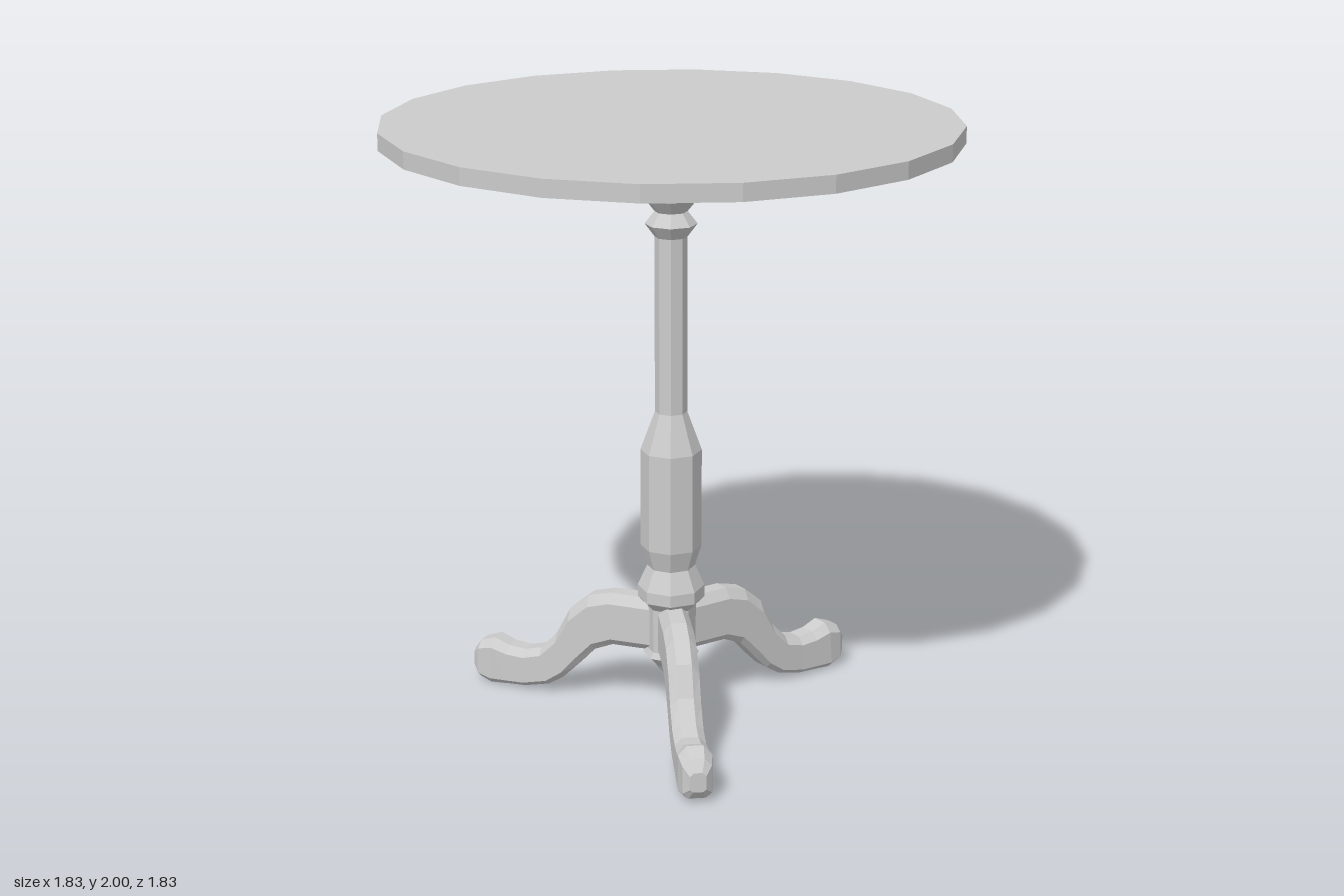
import * as THREE from 'three';

const material = new THREE.MeshStandardMaterial({ color: 0xcccccc, flatShading: true });

function mesh(geometry, name) {
  const m = new THREE.Mesh(geometry, material);
  m.name = name;
  return m;
}

// Leg stations, hub to toe: top x, top y, bottom x, bottom y, half width
const STATIONS = [
  [0.02, 0.40, 0.02, 0.22, 0.05],
  [0.21, 0.397, 0.20, 0.215, 0.05],
  [0.29, 0.375, 0.27, 0.185, 0.05],
  [0.36, 0.315, 0.34, 0.11, 0.05],
  [0.41, 0.22, 0.385, 0.065, 0.05],
  [0.47, 0.157, 0.44, 0.03, 0.05],
  [0.53, 0.14, 0.53, 0.008, 0.05],
  [0.59, 0.145, 0.59, 0.005, 0.052],
  [0.645, 0.165, 0.66, 0.0, 0.054],
  [0.70, 0.145, 0.705, 0.015, 0.046],
  [0.727, 0.11, 0.727, 0.045, 0.026],
];

// Bevelled cross-section: height fraction, width fraction
const SECTION = [
  [1, 0.5], [0.82, 1], [0.13, 1], [0, 0.6],
  [0, -0.6], [0.13, -1], [0.82, -1], [1, -0.5],
];

function legGeometry() {
  const n = SECTION.length;
  const positions = [];
  const index = [];
  for (const [tx, ty, bx, by, w] of STATIONS) {
    for (const [h, s] of SECTION) {
      positions.push(bx + (tx - bx) * h, by + (ty - by) * h, s * w);
    }
  }
  for (let i = 0; i < STATIONS.length - 1; i++) {
    for (let j = 0; j < n; j++) {
      const k = (j + 1) % n;
      const a = i * n + j, b = i * n + k;
      index.push(a, b, b + n, a, b + n, a + n);
    }
  }
  // toe cap
  const e = (STATIONS.length - 1) * n;
  for (let j = 1; j < n - 1; j++) index.push(e, e + j, e + j + 1);

  const indexed = new THREE.BufferGeometry();
  indexed.setAttribute('position', new THREE.Float32BufferAttribute(positions, 3));
  indexed.setIndex(index);
  const g = indexed.toNonIndexed();
  g.computeVertexNormals();
  return g;
}

export function createModel() {
  const group = new THREE.Group();
  group.name = 'pedestalTable';

  // Round top
  const top = mesh(new THREE.CylinderGeometry(0.917, 0.917, 0.055, 20), 'tableTop');
  top.position.y = 1.9725;
  group.add(top);

  // Turned column with finial, collar, baluster and two rings: radius, height
  const profile = [
    [0, 0.15], [0.038, 0.15], [0.055, 0.175], [0.088, 0.21], [0.078, 0.23],
    [0.078, 0.38], [0.105, 0.41], [0.105, 0.45], [0.075, 0.52],
    [0.095, 0.59], [0.095, 0.92], [0.05, 1.05], [0.05, 1.63],
    [0.08, 1.672], [0.05, 1.712], [0.083, 1.755], [0.05, 1.79], [0.05, 1.95],
  ].map(([r, y]) => new THREE.Vector2(r * 1.05, y));
  const column = mesh(new THREE.LatheGeometry(profile, 8, Math.PI / 8), 'column');
  group.add(column);

  // Three curved legs, one to the right and two to the left
  const leg = legGeometry();
  [Math.PI, Math.PI / 3, -Math.PI / 3].forEach((angle, i) => {
    const m = mesh(leg, ['rightLeg', 'backLeftLeg', 'frontLeftLeg'][i]);
    m.rotation.y = angle;
    group.add(m);
  });

  return group;
}
